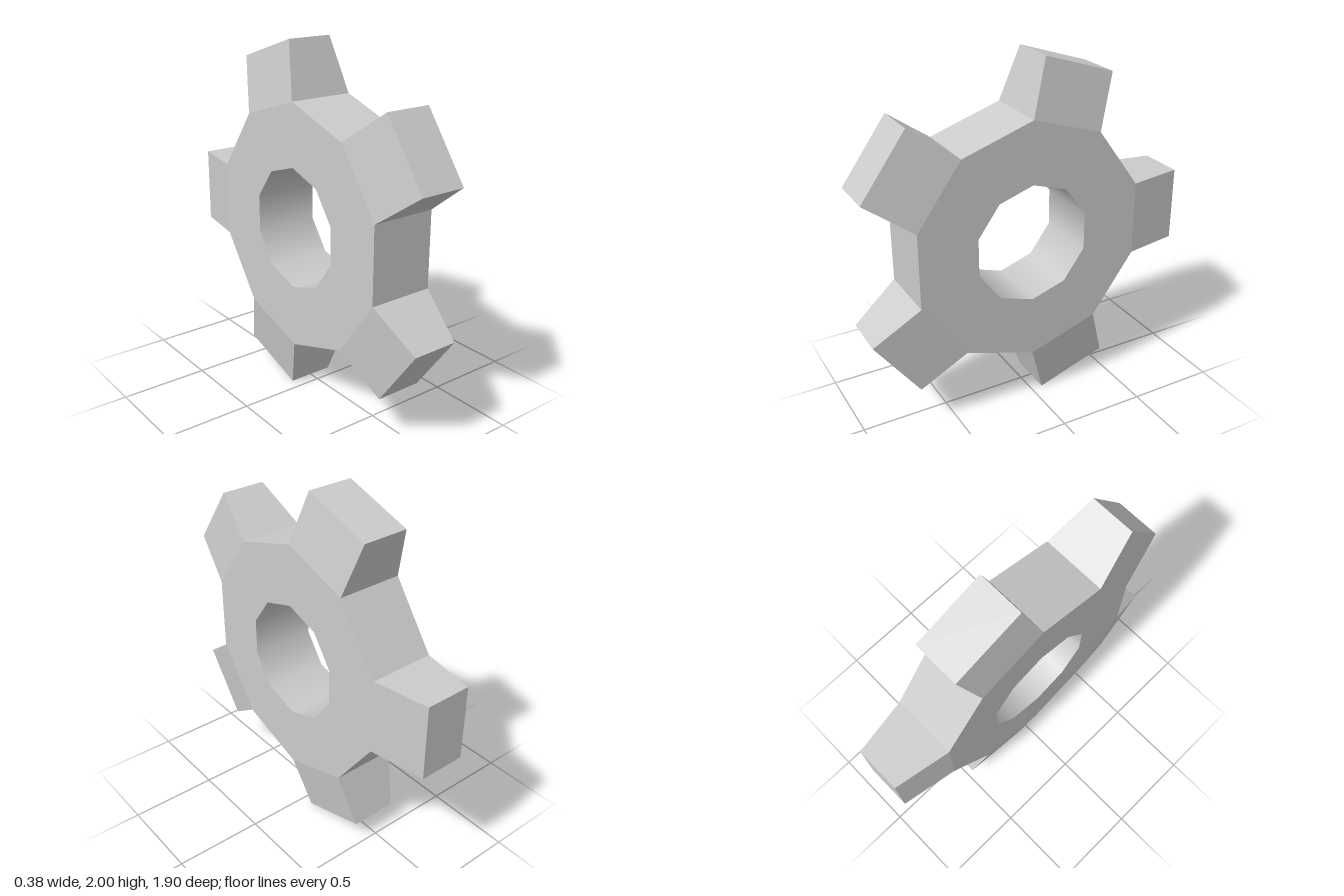
import * as THREE from 'three';

const TEETH = 5, SIDES = TEETH * 2;
const STEP = Math.PI / SIDES;              // half the angle of one side
const R = 0.697, BORE = 0.343, TIP = 0.982; // body, hole and tooth-tip radii
const HALF = 0.188, TIP_HALF = 0.132;      // half thickness at body and tip

export function createModel() {
  const model = new THREE.Group();
  model.name = 'gear';
  const flat = new THREE.MeshStandardMaterial({ color: 0xcccccc, flatShading: true });
  const smooth = new THREE.MeshStandardMaterial({ color: 0xcccccc });

  // the gear is built around the z axis, then turned to face sideways
  const gear = new THREE.Group();
  gear.name = 'gearBody';
  gear.position.set(0, 1, 0.03);
  gear.rotation.y = Math.PI / 2;
  model.add(gear);

  const add = (name, geometry, material) => {
    const mesh = new THREE.Mesh(geometry, material);
    mesh.name = name;
    gear.add(mesh);
    return mesh;
  };

  // side faces with the ten-sided hole
  for (const side of [1, -1]) {
    const face = new THREE.RingGeometry(BORE, R, SIDES, 1, STEP);
    if (side < 0) face.rotateY(Math.PI);
    face.translate(0, 0, side * HALF);
    add(side > 0 ? 'leftFace' : 'rightFace', face, flat);
  }

  // outer rim, seen between the teeth
  const rim = new THREE.CylinderGeometry(R, R, HALF * 2, SIDES, 1, true);
  add('rim', rim.rotateX(Math.PI / 2), flat);

  // smooth wall of the hole, profile runs downward so it faces inward
  const bore = new THREE.LatheGeometry(
    [new THREE.Vector2(BORE, HALF), new THREE.Vector2(BORE, -HALF)], SIDES);
  add('bore', bore.rotateX(Math.PI / 2), smooth);

  // teeth: one on every second side, thinner toward the tip
  const inner = R * Math.cos(STEP);
  const tooth = new THREE.BoxGeometry(TIP - inner, 2 * R * Math.sin(STEP), HALF * 2);
  tooth.translate((TIP + inner) / 2, 0, 0);
  const p = tooth.attributes.position;
  for (let i = 0; i < p.count; i++) {
    if (p.getX(i) > (TIP + inner) / 2) p.setZ(i, Math.sign(p.getZ(i)) * TIP_HALF);
  }
  tooth.computeVertexNormals();
  for (let i = 0; i < TEETH; i++) {
    add('tooth' + (i + 1), tooth, flat).rotation.z = (i / TEETH) * Math.PI * 2;
  }

  return model;
}
